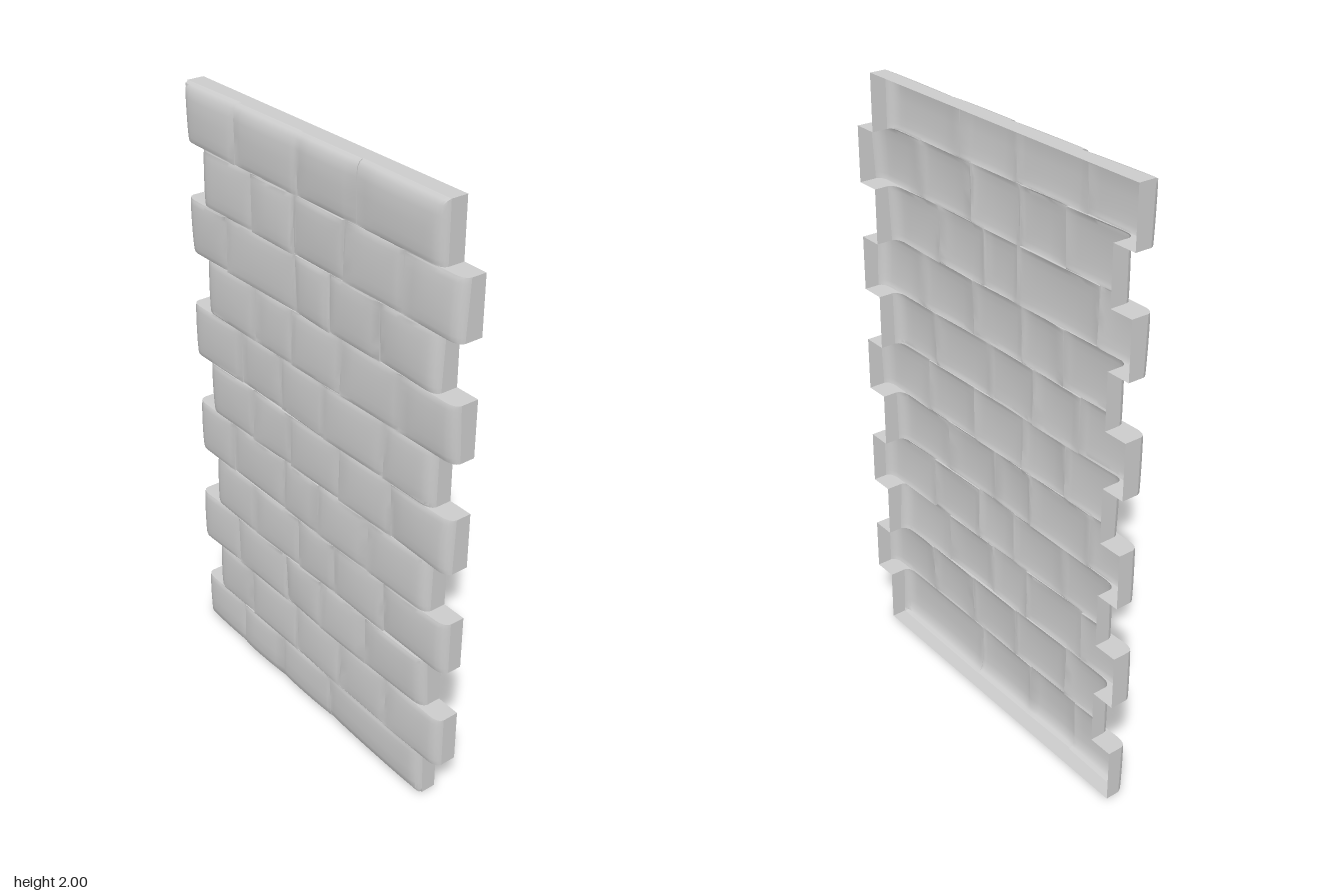
import * as THREE from 'three';
import { toCreasedNormals } from 'three/addons/utils/BufferGeometryUtils.js';

const BACK = -0.045;
const OUT = 0.627, IN = 0.545, HEIGHT = 2;

// Joints between the bricks of each course, bottom to top
const joints = [
  [-0.385, -0.16, 0.1], [-0.33, -0.08, 0.15, 0.38], [-0.4, -0.13, 0.05, 0.28],
  [-0.3, -0.06, 0.12, 0.36], [-0.42, -0.14, 0.04, 0.28], [-0.3, -0.1, 0.14, 0.38],
  [-0.36, -0.15, 0.07, 0.34], [-0.28, -0.09, 0.14, 0.4], [-0.42, -0.07, 0.09, 0.31],
  [-0.28, -0.08, 0.15, 0.4], [-0.36, -0.06, 0.2],
];
const courseHeight = HEIGHT / joints.length;

// Repeatable random numbers
let seed = 11;
const random = () => (seed = (seed * 16807) % 2147483647) / 2147483647;

// Alternate courses stick out to the right and to the left; each brick has four corner heights
const courses = joints.map((inner, i) => {
  const lo = i % 2 ? -IN : -OUT, hi = i % 2 ? OUT : IN;
  const edges = [lo, ...inner, hi];
  const corners = edges.slice(1).map(() => [0, 1, 2, 3].map(() => 0.011 * random()));
  return { lo, hi, edges, corners, y: i * courseHeight };
});

// Face height: tilted, slightly pillowed bricks, rounded off at the free edges
function faceZ(x, side, y, c) {
  let k = 0;
  while (k < c.corners.length - 1 && x + side * 1e-5 > c.edges[k + 1]) k++;
  const a = c.edges[k], b = c.edges[k + 1], [p, q, r, s] = c.corners[k];
  const u = THREE.MathUtils.clamp((x - a) / (b - a), 0, 1);
  const v = THREE.MathUtils.clamp((y - c.y) / courseHeight, 0, 1);
  const lerp = THREE.MathUtils.lerp;
  const tilt = lerp(lerp(p, q, u), lerp(r, s, u), v);
  const pillow = 0.009 * Math.sqrt(Math.max(0, 16 * u * (1 - u) * v * (1 - v)));
  const d = Math.max(0, Math.min(x - c.lo, c.hi - x, y, HEIGHT - y));
  const t = Math.max(0, 1 - d / 0.04);
  return 0.024 + tilt + pillow - 0.022 * (1 - Math.sqrt(1 - t * t));
}

// Grid columns: joints are doubled so the face can step there
function makeColumns() {
  const seams = new Set(courses.flatMap((c) => c.edges));
  const plain = new Set();
  for (let x = -0.6; x < 0.61; x += 0.04) plain.add(x);
  for (const e of [IN, OUT]) for (const d of [0.004, 0.012, 0.025, 0.04]) plain.add(e - d).add(d - e);
  const columns = [];
  for (const x of seams) columns.push({ x, side: -1 }, { x, side: 1 });
  for (const x of plain) columns.push({ x, side: 1 });
  return columns.sort((a, b) => a.x - b.x || a.side - b.side);
}

// Grid lines of each course; neighbouring courses meet in a doubled line
function makeLines() {
  const steps = [0, 0.03, 0.1, 0.25, 0.5, 0.75, 0.9, 0.97, 1];
  return courses.flatMap((c, i) => steps.map((f) => ({ y: (i + f) * courseHeight, c })));
}

function surface(name, positions, material) {
  const geometry = new THREE.BufferGeometry();
  geometry.setAttribute('position', new THREE.Float32BufferAttribute(positions, 3));
  const mesh = new THREE.Mesh(toCreasedNormals(geometry, 0.7), material);
  mesh.name = name;
  return mesh;
}

export function createModel() {
  const material = new THREE.MeshStandardMaterial({ color: 0xcccccc, side: THREE.DoubleSide });
  const columns = makeColumns(), lines = makeLines();
  const face = [], rim = [];

  const point = (i, j) =>
    new THREE.Vector3(columns[i].x, lines[j].y, faceZ(columns[i].x, columns[i].side, lines[j].y, lines[j].c));
  const triangle = (list, a, b, c) => {
    const area = b.clone().sub(a).cross(c.clone().sub(a)).length();
    if (area > 1e-8) for (const p of [a, b, c]) list.push(p.x, p.y, p.z);
  };
  const quad = (list, a, b, c, d) => {
    triangle(list, a, b, c);
    triangle(list, a, c, d);
  };
  const inside = (i, j) => {
    if (i < 0 || j < 0 || i >= columns.length - 1 || j >= lines.length - 1) return false;
    const x = (columns[i].x + columns[i + 1].x) / 2;
    return [lines[j].c, lines[j + 1].c].every((c) => x > c.lo && x < c.hi);
  };
  // Rim wall running from the face edge a-b to the open back
  const wall = (a, b) => {
    const back = (p) => new THREE.Vector3(p.x, p.y, BACK);
    quad(rim, back(a), back(b), b, a);
  };

  for (let i = 0; i < columns.length - 1; i++) {
    for (let j = 0; j < lines.length - 1; j++) {
      if (!inside(i, j)) continue;
      const a = point(i, j), b = point(i + 1, j), c = point(i + 1, j + 1), d = point(i, j + 1);
      quad(face, a, b, c, d);
      if (!inside(i, j - 1)) wall(a, b);
      if (!inside(i + 1, j)) wall(b, c);
      if (!inside(i, j + 1)) wall(c, d);
      if (!inside(i - 1, j)) wall(d, a);
    }
  }

  const group = new THREE.Group();
  group.name = 'brickWallPanel';
  group.add(surface('brickFace', face, material), surface('panelRim', rim, material));
  return group;
}
